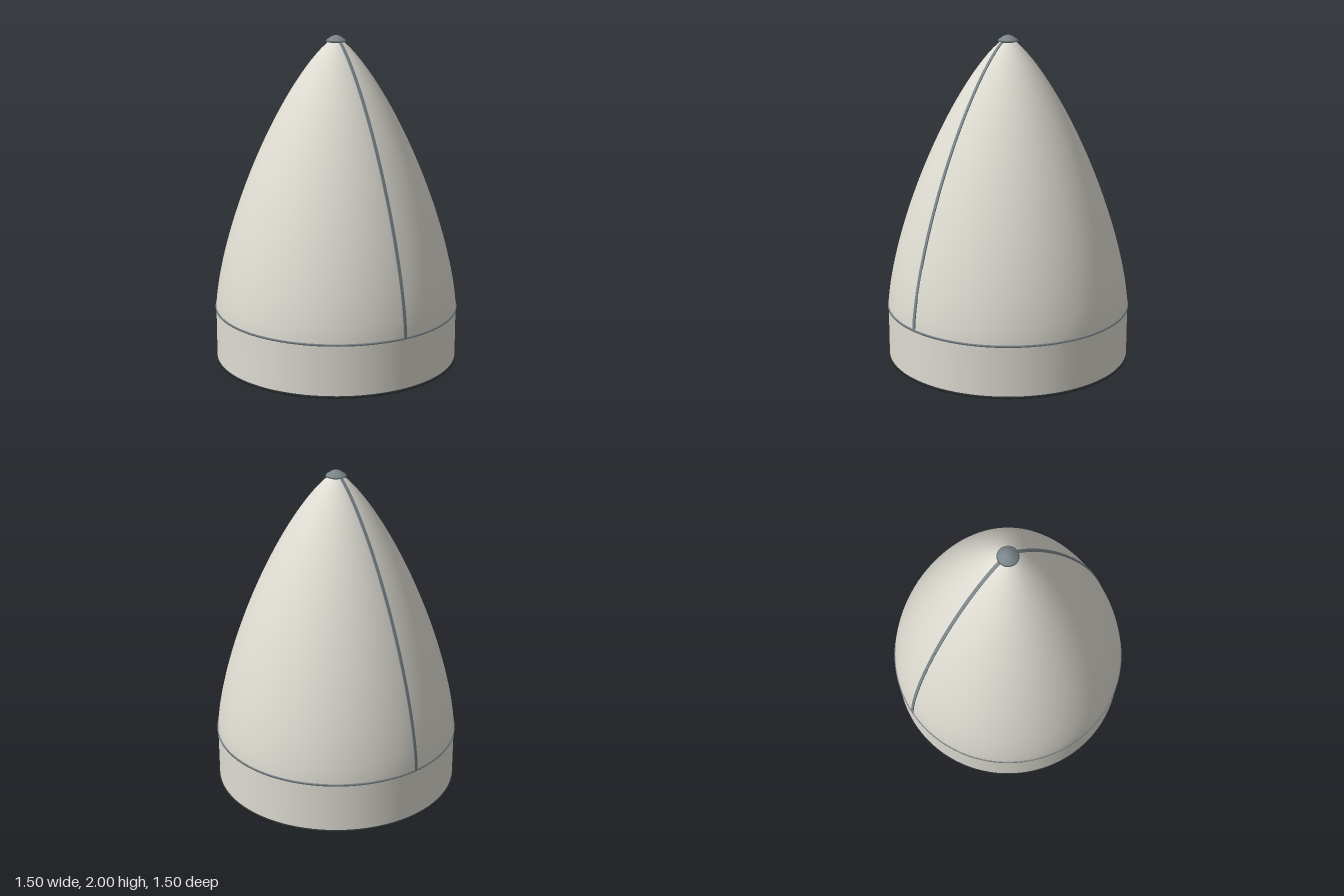
import * as THREE from 'three';

const BASE = 0.325, TOP = 1.99, R = 0.745;

// Radius of the nose curve at height y
function noseRadius(y) {
  const c = 1 - (2 * (TOP - y)) / (TOP - BASE);
  const t = Math.acos(THREE.MathUtils.clamp(c, -1, 1));
  return R * Math.sqrt(Math.max(0, t - Math.sin(2 * t) / 2) / Math.PI);
}

// Points along the nose curve, pushed outward by lift
function nosePoints(y0, y1, n, lift = 0) {
  const pts = [];
  for (let i = 0; i <= n; i++) {
    const y = y0 + ((y1 - y0) * i) / n;
    pts.push(new THREE.Vector2(noseRadius(y) + lift, y));
  }
  return pts;
}

const v = (pairs) => pairs.map(([x, y]) => new THREE.Vector2(x, y));

export function createModel() {
  const model = new THREE.Group();
  model.name = 'payloadFairing';
  const mat = (name, color, side = THREE.FrontSide) => {
    const m = new THREE.MeshStandardMaterial({ color, side });
    m.name = name;
    return m;
  };
  const shellMat = mat('warmWhite', 0xdedcd2, THREE.DoubleSide);
  const seamMat = mat('slateGrey', 0x7b858a, THREE.DoubleSide);
  const darkMat = mat('darkGrey', 0x2c3134, THREE.DoubleSide);
  const add = (name, geometry, material) => {
    const mesh = new THREE.Mesh(geometry, material);
    mesh.name = name;
    model.add(mesh);
    return mesh;
  };
  const lathe = (pts, start = 0, len = Math.PI * 2, seg = 96) =>
    new THREE.LatheGeometry(pts, seg, start, len);

  // Nose shell and straight collar
  add('noseShell', lathe(nosePoints(BASE, TOP, 48)), shellMat);
  add('collar', lathe(v([[R, 0.012], [R, BASE]])), shellMat);
  add('collarLining', lathe(v([[R - 0.012, BASE], [R - 0.012, 0.012]])), shellMat);

  // Bands around the collar
  const band = (y0, y1, inner, outer) =>
    lathe(v([[inner, y0], [outer, y0], [outer, y1], [inner, y1], [inner, y0]]));
  add('collarBand', band(BASE - 0.006, BASE + 0.006, R - 0.01, 0.75), seamMat);
  add('baseRing', band(0, 0.014, R - 0.015, 0.75), darkMat);

  // Conical bulkhead with a ringed opening
  add('bulkhead', lathe(v([[0.2, 0.005], [R - 0.01, BASE - 0.01]])), shellMat);
  add('bulkheadRing', band(0.001, 0.012, 0.192, 0.204), seamMat);

  // Two raised seam strips on opposite sides
  const seamAngle = THREE.MathUtils.degToRad(20.8);
  for (const side of [0, Math.PI]) {
    const pos = [], index = [], n = 48, w = 0.01;
    for (let i = 0; i <= n; i++) {
      const y = BASE + ((1.975 - BASE) * i) / n;
      const r = noseRadius(y);
      // cross-section: inner, outer, outer, inner
      pos.push(r - 0.008, y, w, r + 0.006, y, w, r + 0.006, y, -w, r - 0.008, y, -w);
      if (i < n) {
        for (let k = 0; k < 3; k++) {
          const a = i * 4 + k;
          index.push(a, a + 1, a + 5, a, a + 5, a + 4);
        }
      }
    }
    const strip = new THREE.BufferGeometry();
    strip.setAttribute('position', new THREE.Float32BufferAttribute(pos, 3));
    strip.setIndex(index);
    const flat = strip.toNonIndexed();
    flat.computeVertexNormals();
    add(side ? 'rightSeam' : 'leftSeam', flat, seamMat).rotation.y = side - seamAngle;
  }

  // Nearly flush access hatch beside the left seam
  const hatchStart = THREE.MathUtils.degToRad(90 - 23);
  const hatchSweep = THREE.MathUtils.degToRad(13.5);
  add('accessHatch', lathe(nosePoints(0.52, 0.7, 8, 0.002), hatchStart, hatchSweep, 8), shellMat);

  // Tip cap
  const cap = v([[0.0, 1.955], [0.045, 1.958], [0.063, 1.965], [0.056, 1.974], [0.042, 1.983],
    [0.03, 1.992], [0.016, 1.998], [0, 2]]);
  add('tipCap', lathe(cap, 0, Math.PI * 2, 32), seamMat);

  return model;
}
